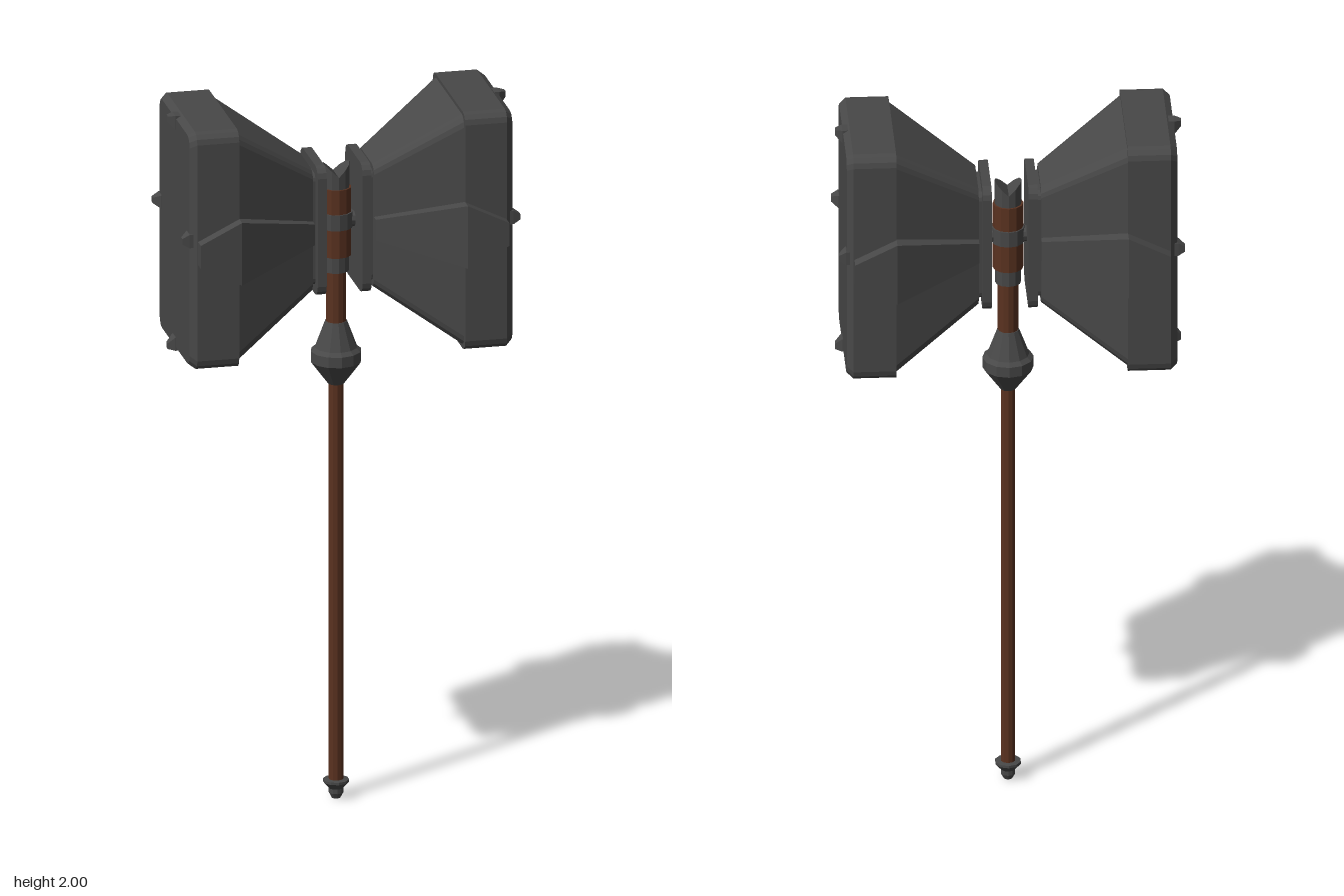
import * as THREE from 'three';

const steel = new THREE.MeshStandardMaterial({ color: 0x484848, flatShading: true });
steel.name = 'dark steel';
const wood = new THREE.MeshStandardMaterial({ color: 0x5a3220, flatShading: true });
wood.name = 'brown wood';

const HEAD_Y = 1.66;

function mesh(name, geometry, material = steel) {
  const m = new THREE.Mesh(geometry, material);
  m.name = name;
  return m;
}

// Closed solid through rings that run along +x; each ring is a list of [x, y, z]
function loft(rings) {
  const pos = [], n = rings[0].length;
  const tri = (a, b, c) => pos.push(...a, ...b, ...c);
  for (let i = 0; i < rings.length - 1; i++) {
    for (let j = 0; j < n; j++) {
      const k = (j + 1) % n, p = rings[i], q = rings[i + 1];
      tri(p[j], p[k], q[k]);
      tri(p[j], q[k], q[j]);
    }
  }
  const first = rings[0], last = rings[rings.length - 1];
  for (let j = 1; j < n - 1; j++) {
    tri(first[0], first[j + 1], first[j]);
    tri(last[0], last[j], last[j + 1]);
  }
  const g = new THREE.BufferGeometry();
  g.setAttribute('position', new THREE.Float32BufferAttribute(pos, 3));
  g.computeVertexNormals();
  return g;
}

// Rounded rectangle in the y-z plane, with half height h, half depth d and corner radius r
function roundedRing(x, h, d, r) {
  const pts = [];
  const corners = [[1, 1], [-1, 1], [-1, -1], [1, -1]];
  corners.forEach(([sy, sz], c) => {
    for (let s = 0; s <= 3; s++) {
      const a = (c + s / 3) * Math.PI / 2;
      pts.push([x, sy * (h - r) + r * Math.cos(a), sz * (d - r) + r * Math.sin(a)]);
    }
  });
  return pts;
}

// Plain rectangle in the y-z plane
function rectRing(x, y0, y1, z0, z1) {
  return [[x, y1, z0], [x, y1, z1], [x, y0, z1], [x, y0, z0]];
}

// One hammer head pointing along +x
function createHead(name) {
  const head = new THREE.Group();
  head.name = name;
  head.position.y = HEAD_Y;

  head.add(mesh('taperedNeck', loft([
    roundedRing(0.085, 0.175, 0.09, 0.025),
    roundedRing(0.32, 0.333, 0.186, 0.03),
  ])));
  head.add(mesh('strikingBlock', loft([
    roundedRing(0.315, 0.34, 0.197, 0.03),
    roundedRing(0.432, 0.34, 0.197, 0.03),
    roundedRing(0.45, 0.328, 0.182, 0.03),
  ])));
  head.add(mesh('innerCollar', loft([
    roundedRing(0.05, 0.185, 0.105, 0.03),
    roundedRing(0.075, 0.185, 0.105, 0.03),
  ])));
  head.add(mesh('outerCollar', loft([
    roundedRing(0.075, 0.16, 0.078, 0.02),
    roundedRing(0.088, 0.16, 0.078, 0.02),
  ])));

  // Bent diamond straps on the front and back
  const strap = loft([
    rectRing(0.085, -0.03, 0.03, 0.09, 0.115),
    rectRing(0.315, -0.09, 0.09, 0.194, 0.231),
    rectRing(0.43, -0.033, 0.033, 0.194, 0.231),
  ]);
  const frontStrap = mesh('frontStrap', strap);
  const backStrap = mesh('backStrap', strap);
  backStrap.geometry = strap.clone().rotateX(Math.PI);
  head.add(frontStrap, backStrap);

  // Blunt studs on the striking face, leaning outward
  const studs = [[0.318, 0, 1, 0], [-0.318, 0, -1, 0], [0.033, 0.17, 0, 1], [0.033, -0.17, 0, -1]];
  for (const [y, z, ly, lz] of studs) {
    const b = 0.019, t = 0.008, ty = y + ly * 0.008, tz = z + lz * 0.008;
    head.add(mesh('stud', loft([
      rectRing(0.435, y - b, y + b, z - b, z + b),
      rectRing(0.452, y - b, y + b, z - b, z + b),
      rectRing(0.471, ty - t, ty + t, tz - t, tz + t),
    ])));
  }
  return head;
}

function lathe(points, sides) {
  return new THREE.LatheGeometry(points.map(([r, y]) => new THREE.Vector2(r, y)), sides);
}

function rod(r, y0, y1, sides = 12) {
  return new THREE.CylinderGeometry(r, r, y1 - y0, sides).translate(0, (y0 + y1) / 2, 0);
}

export function createModel() {
  const model = new THREE.Group();
  model.name = 'doubleHeadedHammer';

  // Heads
  const left = createHead('leftHead');
  const right = createHead('rightHead');
  right.rotation.y = Math.PI;
  model.add(left, right);

  // Shaft
  model.add(mesh('handle', rod(0.02, 0.04, 1.22, 10), wood));
  model.add(mesh('upperShaft', rod(0.028, 1.34, 1.54), wood));
  model.add(mesh('gripSleeve', rod(0.042, 1.56, 1.755), wood));

  // Pommel and flared guard
  model.add(mesh('pommel', lathe(
    [[0, 0], [0.012, 0], [0.02, 0.015], [0.02, 0.028], [0.036, 0.046], [0.036, 0.053], [0, 0.056]], 10)));
  model.add(mesh('guard', lathe(
    [[0, 1.19], [0.022, 1.19], [0.07, 1.255], [0.07, 1.285], [0.058, 1.295], [0.03, 1.37], [0, 1.37]], 12)));

  // Steel fittings around the sleeve
  model.add(mesh('lowerFerrule', rod(0.036, 1.515, 1.575)));
  model.add(mesh('centreBand', rod(0.046, 1.64, 1.685)));
  model.add(mesh('axle', new THREE.CylinderGeometry(0.022, 0.022, 0.12, 10)
    .rotateZ(Math.PI / 2).translate(0, HEAD_Y, 0)));

  // Notched cap: top rises to a point on each side
  const cap = rod(0.037, 1.74, 1.79);
  const p = cap.attributes.position;
  for (let i = 0; i < p.count; i++) {
    if (p.getY(i) > 1.77) p.setY(i, 1.79 + Math.abs(p.getX(i)) * 0.95);
  }
  cap.computeVertexNormals();
  model.add(mesh('notchedCap', cap));

  return model;
}
